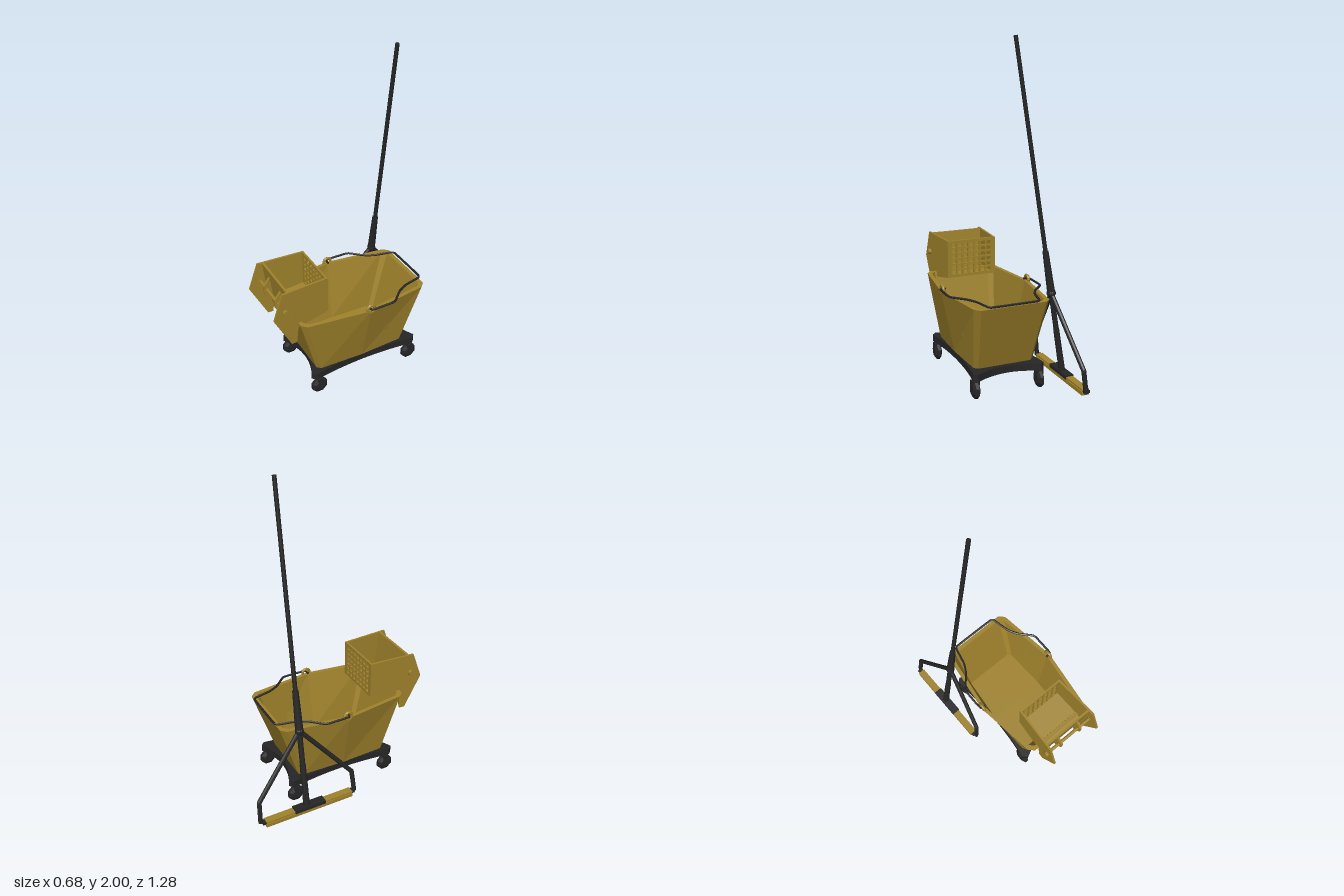
import * as THREE from 'three';

const yellow = new THREE.MeshStandardMaterial({ color: 0xa0832c, side: THREE.DoubleSide, flatShading: true });
const dark = new THREE.MeshStandardMaterial({ color: 0x262626, side: THREE.DoubleSide, flatShading: true });
const V = (x, y, z) => new THREE.Vector3(x, y, z);

function add(parent, name, geo, mat, x = 0, y = 0, z = 0) {
  const m = new THREE.Mesh(geo, mat);
  m.name = name;
  m.position.set(x, y, z);
  parent.add(m);
  return m;
}

// Straight round bar between two points
function bar(parent, name, a, b, r0, r1, mat, sides = 10) {
  const d = b.clone().sub(a);
  const m = add(parent, name, new THREE.CylinderGeometry(r1, r0, d.length(), sides), mat);
  m.position.copy(a).addScaledVector(d, 0.5);
  m.quaternion.setFromUnitVectors(V(0, 1, 0), d.normalize());
  return m;
}

// Ring outline: end half width w, middle half width m, half length l, corner cut c
function ring(w, m, l, c, y, dz = 0) {
  const half = [[w - c, l], [w, l - c], [m, 0], [w, c - l], [w - c, -l]];
  const pts = [...half, ...half.map(([x, z]) => [-x, -z])];
  return pts.map(([x, z]) => V(x, y, z + dz));
}

// Skin a list of rings with quads
function loft(rings) {
  const p = [];
  for (let i = 0; i < rings.length - 1; i++) {
    const lo = rings[i], hi = rings[i + 1], n = lo.length;
    for (let k = 0; k < n; k++) {
      const j = (k + 1) % n;
      for (const v of [lo[k], lo[j], hi[j], lo[k], hi[j], hi[k]]) p.push(v.x, v.y, v.z);
    }
  }
  const g = new THREE.BufferGeometry();
  g.setAttribute('position', new THREE.Float32BufferAttribute(p, 3));
  g.computeVertexNormals();
  return g;
}

// Profile in (z, y), extruded along x and centred on x = 0
function sideExtrude(points, width) {
  const s = new THREE.Shape(points.map(([z, y]) => new THREE.Vector2(z, y)));
  const g = new THREE.ExtrudeGeometry(s, { depth: width, bevelEnabled: false });
  g.translate(0, 0, -width / 2);
  return g.rotateY(-Math.PI / 2);
}

function makeBase(parent) {
  // Plate with hollowed edges and cut corners
  const x = 0.22, z = 0.36, c = 0.025, s = new THREE.Shape();
  s.moveTo(x - c, -z);
  s.lineTo(x, c - z);
  s.quadraticCurveTo(0.165, 0, x, z - c);
  s.lineTo(x - c, z);
  s.quadraticCurveTo(0, 0.25, c - x, z);
  s.lineTo(-x, z - c);
  s.quadraticCurveTo(-0.165, 0, -x, c - z);
  s.lineTo(c - x, -z);
  s.quadraticCurveTo(0, -0.25, x - c, -z);
  const g = new THREE.ExtrudeGeometry(s, { depth: 0.042, bevelEnabled: false, curveSegments: 8 });
  add(parent, 'basePlate', g.rotateX(-Math.PI / 2), dark, 0, 0.114, -0.005);

  // Casters: bevelled wheel, fork and stem
  const profile = [[0, -0.021], [0.03, -0.021], [0.052, -0.009], [0.052, 0.009], [0.03, 0.021], [0, 0.021]];
  const wheel = new THREE.LatheGeometry(profile.map(([r, y]) => new THREE.Vector2(r, y)), 8);
  wheel.rotateY(Math.PI / 8).rotateZ(Math.PI / 2);
  for (const sx of [-1, 1]) for (const sz of [-1, 1]) {
    const k = new THREE.Group();
    k.name = 'caster';
    k.position.set(sx * 0.2, 0, sz * 0.315 - 0.008);
    parent.add(k);
    add(k, 'wheel', wheel, dark, 0, 0.052, 0);
    add(k, 'fork', new THREE.BoxGeometry(0.046, 0.03, 0.03), dark, 0, 0.095, 0);
    add(k, 'stem', new THREE.CylinderGeometry(0.014, 0.014, 0.03, 8), dark, 0, 0.108, 0);
  }
}

function makeBucket(parent) {
  add(parent, 'bucket', loft([
    ring(0, 0, 0, 0, 0.155, 0.01),
    ring(0.185, 0.195, 0.295, 0.022, 0.155, 0.01),
    ring(0.23, 0.281, 0.415, 0.032, 0.545),
    ring(0.208, 0.259, 0.39, 0.028, 0.545),
    ring(0.18, 0.19, 0.288, 0.02, 0.17, 0.01),
    ring(0, 0, 0, 0, 0.17, 0.01),
  ]), yellow);

  // Handle eyes and wire handle resting on the rear rim
  for (const s of [-1, 1]) {
    const eye = add(parent, 'handleEye', new THREE.TorusGeometry(0.024, 0.009, 6, 14), yellow, s * 0.272, 0.555, -0.005);
    eye.rotation.y = Math.PI / 2;
  }
  const half = [[0.25, 0], [0.285, -0.005], [0.287, -0.09], [0.283, -0.16], [0.215, -0.235], [0.18, -0.3], [0.157, -0.4], [0.135, -0.421]];
  const pts = [...half, ...half.map(([x, z]) => [-x, z]).reverse()].map(([x, z]) => V(x, 0.558, z));
  const path = new THREE.CatmullRomCurve3(pts, false, 'catmullrom', 0.25);
  add(parent, 'wireHandle', new THREE.TubeGeometry(path, 72, 0.007, 6), dark);
}

function makeWringer(parent) {
  const w = new THREE.Group();
  w.name = 'wringer';
  parent.add(w);

  // Side plates, splayed slightly toward the front, hooked over the bucket rim
  const z0 = 0.214;
  const plate = sideExtrude([[0, 0.55], [0.2, 0.51], [0.212, 0.41], [0.246, 0.41], [0.35, 0.615], [0.292, 0.78], [0, 0.78]], 0.012);
  for (const s of [-1, 1]) {
    const m = add(w, 'sidePlate', plate, yellow, s * 0.15, 0, z0);
    m.rotation.y = s * 0.06;
    const boss = add(w, 'pivotBoss', new THREE.CylinderGeometry(0.018, 0.018, 0.03, 10), yellow, s * 0.174, 0.655, 0.49);
    boss.rotation.z = Math.PI / 2;
  }

  // Front wall and sloped floor
  add(w, 'frontWall', sideExtrude([[0.437, 0.53], [0.45, 0.53], [0.478, 0.78], [0.464, 0.78]], 0.325), yellow);
  add(w, 'wringerFloor', sideExtrude([[z0, 0.55], [0.44, 0.52], [0.44, 0.532], [z0, 0.562]], 0.305), yellow);

  // Perforated back panel
  const s = new THREE.Shape([[-0.15, 0.55], [0.15, 0.55], [0.15, 0.78], [-0.15, 0.78]].map(p => new THREE.Vector2(...p)));
  const cols = 7, rows = 6, dx = 0.038, dy = 0.034;
  for (let i = 0; i < cols; i++) for (let j = 0; j < rows; j++) {
    const cx = (i - (cols - 1) / 2) * dx, cy = 0.665 + (j - (rows - 1) / 2) * dy;
    const a = 0.0135, b = 0.012;
    s.holes.push(new THREE.Path([[-a, -b], [-a, b], [a, b], [a, -b]].map(([x, y]) => new THREE.Vector2(cx + x, cy + y))));
  }
  add(w, 'drainGrid', new THREE.ExtrudeGeometry(s, { depth: 0.012, bevelEnabled: false }), yellow, 0, 0, z0);

  // Cross rod and its two ribs
  bar(w, 'crossRod', V(-0.19, 0.655, 0.492), V(0.19, 0.655, 0.492), 0.01, 0.01, yellow, 8);
  const rib = sideExtrude([[0.452, 0.57], [0.475, 0.57], [0.512, 0.63], [0.512, 0.68], [0.475, 0.73], [0.465, 0.73]], 0.014);
  for (const x of [-0.075, 0.075]) add(w, 'rib', rib, yellow, x, 0, 0);
}

function makeMop(parent) {
  const mop = new THREE.Group();
  mop.name = 'mop';
  parent.add(mop);
  const foot = V(-0.253, 0.06, -0.337), top = V(0.055, 1.998, -0.272);
  const at = y => foot.clone().lerp(top, (y - foot.y) / (top.y - foot.y));

  // Pole with its sleeves
  bar(mop, 'pole', at(0.78), top, 0.013, 0.012, dark);
  bar(mop, 'poleSleeve', at(0.56), at(0.81), 0.024, 0.018, dark);
  bar(mop, 'lowerPole', foot, at(0.57), 0.016, 0.016, dark);
  bar(mop, 'footSleeve', at(0.06), at(0.34), 0.02, 0.018, dark);

  // Bent braces from the joint to each end of the head
  const joint = at(0.56);
  const braces = [
    [V(-0.167, 0.19, -0.617), V(-0.182, 0.055, -0.624)],
    [V(-0.3, 0.19, -0.025), V(-0.318, 0.055, -0.018)],
  ];
  for (const [bend, end] of braces) {
    bar(mop, 'brace', joint, bend, 0.014, 0.014, dark, 8);
    bar(mop, 'braceFoot', bend, end, 0.014, 0.014, dark, 8);
    add(mop, 'braceKnee', new THREE.SphereGeometry(0.014, 8, 6), dark, bend.x, bend.y, bend.z);
  }
  add(mop, 'braceJoint', new THREE.SphereGeometry(0.027, 10, 8), dark, joint.x, joint.y, joint.z);

  // Head: dark channel, yellow strips and centre clamp
  const head = new THREE.Group();
  head.name = 'mopHead';
  head.position.set(-0.257, 0, -0.323);
  head.rotation.y = -0.21;
  mop.add(head);
  add(head, 'lowerStrip', new THREE.BoxGeometry(0.045, 0.022, 0.57), yellow, 0, 0.044, 0);
  add(head, 'channel', new THREE.BoxGeometry(0.032, 0.016, 0.61), dark, 0, 0.059, 0);
  add(head, 'upperStrip', new THREE.BoxGeometry(0.044, 0.01, 0.57), yellow, 0, 0.065, 0);
  add(head, 'clamp', new THREE.BoxGeometry(0.052, 0.022, 0.2), dark, 0, 0.067, 0);
}

export function createModel() {
  const model = new THREE.Group();
  model.name = 'mopBucketSet';
  const cart = new THREE.Group();
  cart.name = 'bucketCart';
  cart.position.set(0.022, 0, 0.056);
  cart.rotation.y = -0.213;
  model.add(cart);
  makeBase(cart);
  makeBucket(cart);
  makeWringer(cart);
  makeMop(model);
  return model;
}
